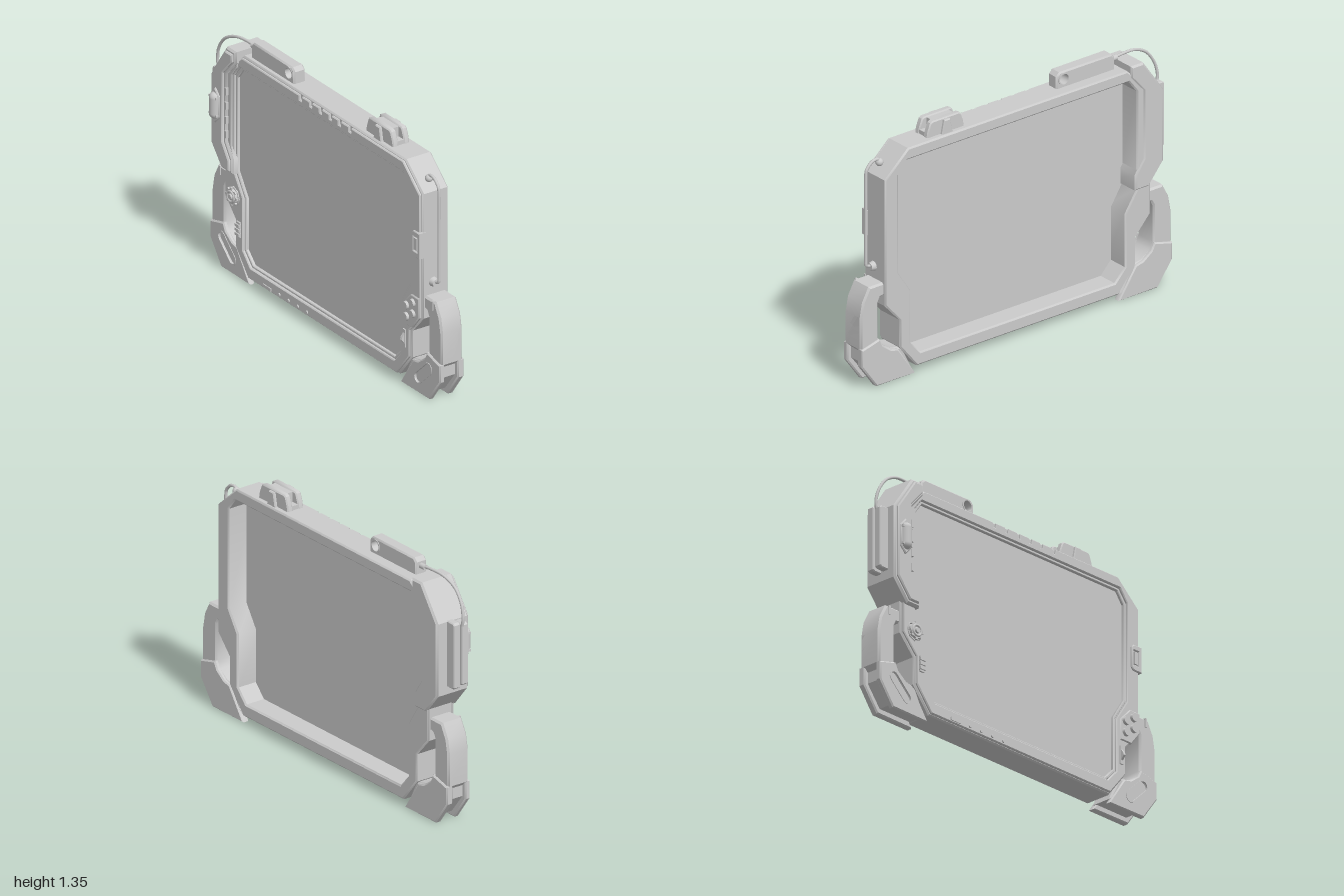
import * as THREE from 'three';
import { toCreasedNormals } from 'three/addons/utils/BufferGeometryUtils.js';

const material = new THREE.MeshStandardMaterial({ color: 0xcccccc });

export function createModel() {
  const model = new THREE.Group();

  // ---- helpers ----
  const add = (name, geometry, x = 0, y = 0, z = 0) => {
    const mesh = new THREE.Mesh(geometry, material);
    mesh.name = name;
    mesh.position.set(x, y, z);
    model.add(mesh);
    return mesh;
  };
  const flip = pts => pts.map(([x, y]) => [-x, y]).reverse();
  const shapeOf = (pts, ...holes) => {
    const shape = new THREE.Shape(pts.map(p => new THREE.Vector2(...p)));
    holes.forEach(h => shape.holes.push(new THREE.Path(h.map(p => new THREE.Vector2(...p)))));
    return shape;
  };
  // Extrudes between two depths; the bevel stays inside the outline
  const plate = (name, shape, z0, z1, bevel = 0.006) => {
    const g = new THREE.ExtrudeGeometry(shape, {
      depth: z1 - z0 - 2 * bevel, bevelEnabled: bevel > 0, bevelSize: bevel,
      bevelThickness: bevel, bevelOffset: -bevel, bevelSegments: 1,
    });
    g.translate(0, 0, z0 + bevel);
    return add(name, toCreasedNormals(g, 0.6));
  };
  const box = (name, w, h, d, x, y, z) => add(name, new THREE.BoxGeometry(w, h, d), x, y, z);
  const disc = (name, r0, r1, z0, z1, x, y, sides = 24) => {
    const g = new THREE.CylinderGeometry(r1, r0, z1 - z0, sides).rotateX(Math.PI / 2);
    return add(name, g, x, y, (z0 + z1) / 2);
  };
  const tube = (name, pts, r, tension = 0.5) => add(name, new THREE.TubeGeometry(
    new THREE.CatmullRomCurve3(pts.map(p => new THREE.Vector3(...p)), false, 'catmullrom', tension), 60, r, 8));
  const stadium = (cx, cy, len, r, angle) => {
    const pts = [];
    for (let i = 0; i < 20; i++) {
      const a = (i < 10 ? i : i - 10) / 9 * Math.PI + (i < 10 ? -Math.PI / 2 : Math.PI / 2);
      const u = (i < 10 ? len / 2 : -len / 2) + r * Math.cos(a), v = r * Math.sin(a);
      pts.push([cx + u * Math.cos(angle) - v * Math.sin(angle), cy + u * Math.sin(angle) + v * Math.cos(angle)]);
    }
    return pts;
  };
  const ring = (cx, cy, r) => stadium(cx, cy, 0, r, 0);

  // ---- frame, bezel and screen ----
  const outerHalf = [[0.65, 0.04], [0.76, 0.175], [0.76, 0.325], [0.855, 0.43], [0.855, 1.125], [0.705, 1.26]];
  const bezelHalf = [[0.645, 0.048], [0.752, 0.18], [0.752, 0.33], [0.847, 0.433], [0.847, 1.12], [0.7, 1.252]];
  const openHalf = [[0.625, 0.11], [0.69, 0.18], [0.69, 0.47], [0.767, 0.59], [0.767, 1.13], [0.715, 1.197]];
  const lipHalf = [[0.615, 0.125], [0.676, 0.188], [0.676, 0.476], [0.752, 0.595], [0.752, 1.12], [0.705, 1.182]];
  const both = half => [...half, ...flip(half)];
  plate('frame', shapeOf(both(outerHalf), both(openHalf)), -0.115, 0.042, 0.008);

  const notches = [0.24, 0.15, 0.07, -0.015, -0.1, -0.19].flatMap(x =>
    [[x + 0.012, 1.252], [x + 0.009, 1.226], [x - 0.009, 1.226], [x - 0.012, 1.252]]);
  plate('frontBezel', shapeOf([...bezelHalf, ...notches, ...flip(bezelHalf)], both(openHalf)), 0.04, 0.057, 0.005);
  plate('screenLip', shapeOf(both(openHalf), both(lipHalf)), 0.005, 0.046, 0.004);
  plate('screen', shapeOf(both(openHalf)), 0.0, 0.03, 0);

  // ---- corner handles ----
  const handle = [[0.67, 0.03], [0.89, 0.03], [0.975, 0.14], [0.975, 0.2], [1, 0.225], [1, 0.4], [0.985, 0.48],
    [0.945, 0.555], [0.84, 0.555], [0.84, 0.485], [0.872, 0.48], [0.885, 0.455], [0.885, 0.255],
    [0.865, 0.215], [0.81, 0.178], [0.735, 0.165]];
  const corner = [[0.655, 0], [0.905, 0], [1, 0.13], [1, 0.225], [0.885, 0.255], [0.865, 0.215], [0.81, 0.175], [0.765, 0.165]];
  const slot = stadium(0.853, 0.127, 0.125, 0.026, 0.76);
  const slotRim = stadium(0.853, 0.127, 0.125, 0.034, 0.76);
  for (const [side, m] of [['left', p => p], ['right', flip]]) {
    plate(side + 'Handle', shapeOf(m(handle)), -0.1, 0.03, 0.01);
    plate(side + 'HandleFrontPlate', shapeOf(m(corner), m(slot)), 0.008, 0.04, 0.007);
    plate(side + 'HandleSlotRim', shapeOf(m(slotRim), m(slot)), 0.036, 0.043, 0);
    plate(side + 'HandleBackPlate', shapeOf(m(corner)), -0.11, -0.07, 0.007);
    const s = side === 'left' ? 1 : -1;
    box(side + 'HandleGripPad', 0.012, 0.17, 0.1, s * 0.994, 0.315, -0.035);
    box(side + 'HandleLatch', 0.012, 0.05, 0.02, s * 0.925, 0.53, 0.025);
  }

  // ---- side module on the model's right ----
  const modulePts = [[-0.935, 1.095], [-0.805, 1.28], [-0.725, 1.28], [-0.725, 1.215], [-0.805, 1.125],
    [-0.805, 0.75], [-0.752, 0.67], [-0.752, 0.585], [-0.84, 0.585], [-0.935, 0.7]];
  plate('sideModule', shapeOf(modulePts), -0.122, 0.078, 0.01);
  plate('sideModuleCover', shapeOf([[-0.92, 1.09], [-0.8, 1.262], [-0.742, 1.262], [-0.742, 1.22], [-0.825, 1.13],
    [-0.825, 0.745], [-0.768, 0.66], [-0.768, 0.602], [-0.832, 0.602], [-0.92, 0.71]]), 0.07, 0.091, 0.006);
  plate('bezelTrim', shapeOf([[-0.82, 1.12], [-0.73, 1.215], [-0.73, 1.19], [-0.778, 1.13], [-0.778, 0.73],
    [-0.755, 0.67], [-0.82, 0.74]]), 0.04, 0.066, 0.004);
  for (let i = 0; i < 4; i++) box('moduleVent', 0.014, 0.04, 0.02, -0.808, 0.79 + i * 0.08, 0.072);
  plate('triggerBase', shapeOf([[-0.875, 1.03], [-0.838, 0.99], [-0.838, 0.875], [-0.875, 0.835],
    [-0.912, 0.875], [-0.912, 0.99]]), 0.085, 0.101, 0.005);
  add('triggerButton', new THREE.CapsuleGeometry(0.031, 0.085, 6, 16), -0.875, 0.933, 0.097);
  for (const y of [0.885, 0.98]) box('triggerBand', 0.068, 0.012, 0.03, -0.875, y, 0.098);

  // Side rails and the cable that feeds them
  for (const [z, h] of [[-0.037, 0.36], [0.012, 0.34]])
    plate('sideRail', shapeOf([[-0.992, 0.92 - h / 2 + 0.01], [-0.98, 0.92 - h / 2], [-0.925, 0.92 - h / 2],
      [-0.925, 0.92 + h / 2], [-0.98, 0.92 + h / 2], [-0.992, 0.92 + h / 2 - 0.01]]), z - 0.02, z + 0.02, 0.005);
  tube('cable', [[-0.67, 1.3, -0.018], [-0.75, 1.308, -0.015], [-0.84, 1.3, -0.005], [-0.92, 1.26, 0.004],
    [-0.972, 1.19, 0.004], [-0.99, 1.12, 0.0], [-0.982, 1.06, 0.0]], 0.008);
  const plug = add('cablePlug', new THREE.CylinderGeometry(0.015, 0.015, 0.04, 16), -0.69, 1.302, -0.018);
  plug.rotation.z = Math.PI / 2;

  // ---- top receiver with eyelet ----
  plate('topReceiver', shapeOf([[-0.675, 1.25], [-0.3, 1.25], [-0.3, 1.325], [-0.32, 1.346], [-0.655, 1.346], [-0.675, 1.325]],
    ring(-0.347, 1.303, 0.028)), -0.052, 0.017, 0.008);
  plate('eyeletRim', shapeOf(ring(-0.347, 1.303, 0.036), ring(-0.347, 1.303, 0.028)), -0.055, 0.02, 0);
  for (let i = 0; i < 3; i++) box('receiverMark', 0.035, 0.006, 0.006, -0.56 + i * 0.065, 1.335, 0.012);

  // ---- top clip ----
  const clip = [[0.32, 1.25], [0.562, 1.25], [0.556, 1.29], [0.538, 1.335], [0.525, 1.343], [0.355, 1.343],
    [0.342, 1.335], [0.326, 1.29]];
  plate('clipFront', shapeOf(clip), -0.018, 0.016, 0.006);
  plate('clipBack', shapeOf(clip), -0.085, -0.052, 0.006);
  plate('clipCore', shapeOf([[0.37, 1.25], [0.51, 1.25], [0.51, 1.337], [0.37, 1.337]]), -0.06, -0.01, 0);
  box('clipFloor', 0.23, 0.03, 0.06, 0.441, 1.268, -0.035);
  plate('clipTab', shapeOf([[0.405, 1.25], [0.477, 1.25], [0.46, 1.335], [0.422, 1.335]]), -0.1, 0.031, 0.005);

  // ---- wire loop on the model's left ----
  tube('wireLoop', [[0.805, 1.185, -0.022], [0.83, 1.205, -0.022], [0.865, 1.2, -0.022], [0.895, 1.172, -0.022],
    [0.905, 1.13, -0.022], [0.905, 0.9, -0.022], [0.905, 0.67, -0.022], [0.9, 0.635, -0.022], [0.85, 0.622, -0.022]], 0.0085, 0.4);
  add('wireAnchorTop', new THREE.SphereGeometry(0.021, 16, 12), 0.818, 1.185, -0.022);
  add('wireAnchorBottom', new THREE.CylinderGeometry(0.02, 0.027, 0.03, 20).rotateZ(-Math.PI / 2), 0.865, 0.622, -0.022);

  // ---- front controls ----
  disc('knobBase', 0.056, 0.054, 0.05, 0.062, -0.77, 0.457, 8);
  disc('knob', 0.045, 0.04, 0.06, 0.074, -0.77, 0.457);
  add('knobRing', new THREE.TorusGeometry(0.028, 0.007, 8, 24), -0.77, 0.457, 0.074);
  disc('knobCap', 0.018, 0.014, 0.07, 0.083, -0.77, 0.457, 16);
  for (let i = 0; i < 8; i++) {
    const a = i * Math.PI / 4;
    box('knobGrip', 0.013, 0.013, 0.012, -0.77 + 0.042 * Math.cos(a), 0.457 + 0.042 * Math.sin(a), 0.068).rotation.z = a;
  }

  plate('buttonPad', shapeOf([[0.712, 0.36], [0.79, 0.36], [0.85, 0.435], [0.85, 0.545], [0.78, 0.545], [0.712, 0.475]]),
    0.045, 0.064, 0.005);
  for (const [x, y] of [[0.746, 0.471], [0.8, 0.505], [0.746, 0.409], [0.8, 0.445]]) disc('padButton', 0.023, 0.02, 0.06, 0.078, x, y);

  box('leftRockerBase', 0.03, 0.085, 0.012, -0.722, 0.29, 0.06);
  for (let i = 0; i < 3; i++) box('rockerRib', 0.036, 0.014, 0.018, -0.722, 0.265 + i * 0.025, 0.064);
  box('leverBase', 0.02, 0.1, 0.01, 0.72, 0.275, 0.059);
  const lever = add('lever', toCreasedNormals(new THREE.ExtrudeGeometry(
    shapeOf([[0.05, 0.23], [0.062, 0.245], [0.082, 0.27], [0.078, 0.285], [0.05, 0.325]]),
    { depth: 0.014, bevelEnabled: false }), 0.6), 0.727, 0, 0);
  lever.rotation.y = -Math.PI / 2;

  plate('sideButtonFrame', shapeOf([[0.79, 0.785], [0.805, 0.77], [0.86, 0.77], [0.86, 0.912], [0.805, 0.912], [0.79, 0.897]],
    [[0.805, 0.8], [0.84, 0.8], [0.84, 0.882], [0.805, 0.882]]), 0.02, 0.067, 0.004);
  box('sideButton', 0.024, 0.066, 0.02, 0.822, 0.841, 0.056);

  // Small controls along the lower edge
  box('lowerPort', 0.07, 0.016, 0.01, -0.475, 0.065, 0.057);
  for (const x of [-0.37, -0.29, -0.21, -0.13]) disc('lowerStud', 0.011, 0.009, 0.05, 0.063, x, 0.068, 12);

  return model;
}
